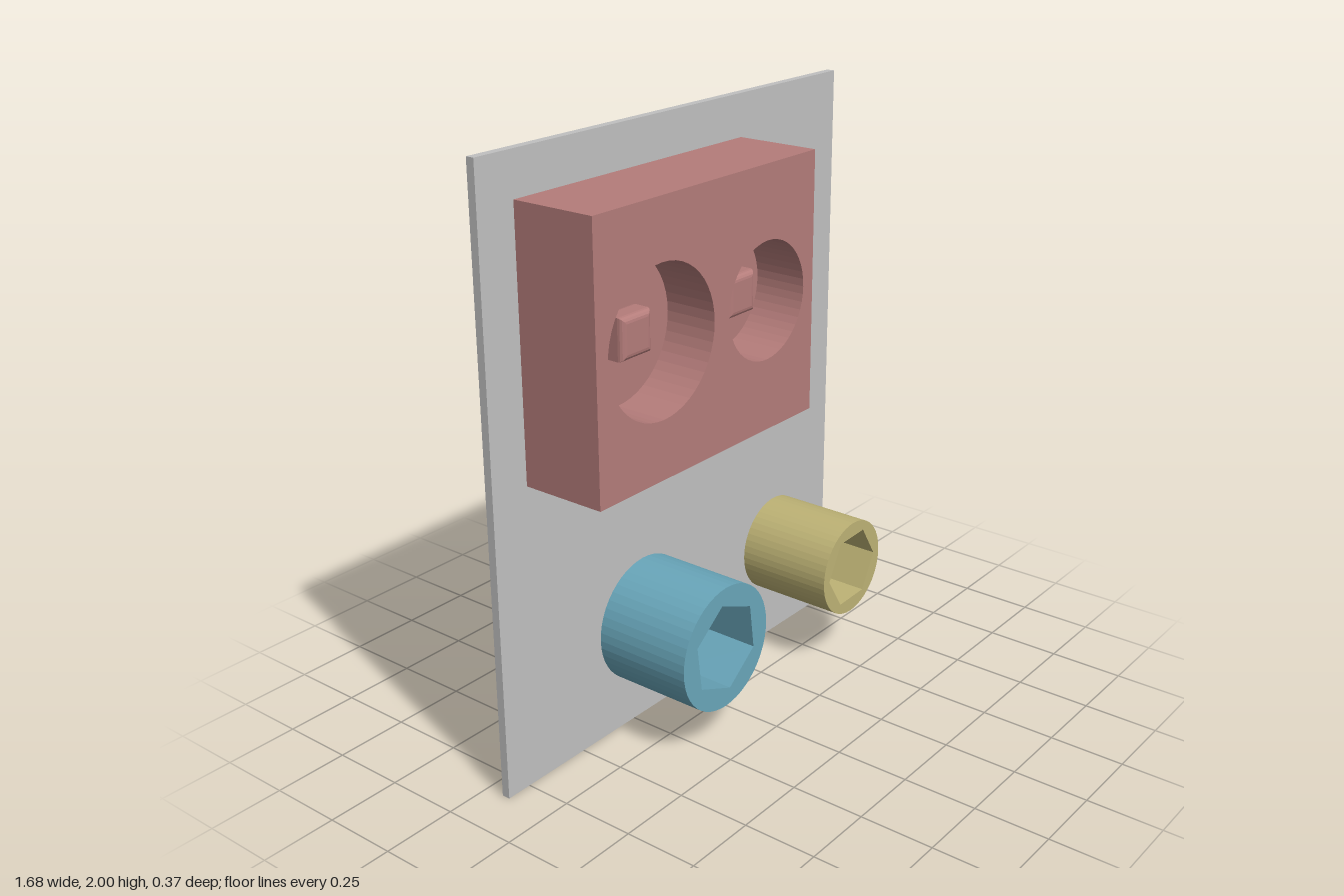
import * as THREE from 'three';

const PLATE_FRONT = -0.157;

function material(name, color) {
  const m = new THREE.MeshStandardMaterial({ color });
  m.name = name;
  return m;
}

function circle(Type, x, y, r) {
  const s = new Type();
  s.absarc(x, y, r, 0, Math.PI * 2, false);
  return s;
}

function rectangle(x0, y0, x1, y1) {
  return new THREE.Shape([[x0, y0], [x1, y0], [x1, y1], [x0, y1]].map(p => new THREE.Vector2(...p)));
}

// Extrudes a shape between two z positions
function slab(name, shape, z0, z1, mat) {
  const geo = new THREE.ExtrudeGeometry(shape, { depth: z1 - z0, bevelEnabled: false, curveSegments: 24 });
  geo.translate(0, 0, z0);
  const mesh = new THREE.Mesh(geo, mat);
  mesh.name = name;
  return mesh;
}

// Round boss with a blind hexagonal socket
function createBoss(name, x, y, r, hexR, hexAngle, mat) {
  const group = new THREE.Group();
  group.name = name;
  const front = 0.185, floor = front - 0.215;
  const rim = circle(THREE.Shape, 0, 0, r);
  const hex = [];
  for (let i = 0; i < 6; i++) {
    const a = THREE.MathUtils.degToRad(hexAngle + i * 60);
    hex.push(new THREE.Vector2(Math.cos(a) * hexR, Math.sin(a) * hexR));
  }
  rim.holes.push(new THREE.Path(hex));
  group.add(
    slab(name + 'Base', circle(THREE.Shape, 0, 0, r), PLATE_FRONT, floor, mat),
    slab(name + 'Socket', rim, floor, front, mat)
  );
  group.position.set(x, y, 0);
  return group;
}

// Square peg with softened front and back edges
function createPeg(x, y, z0, z1, mat) {
  const h = 0.047, bevel = 0.02;
  const geo = new THREE.ExtrudeGeometry(rectangle(-h, -h, h, h), {
    depth: z1 - z0 - bevel * 2, bevelThickness: bevel, bevelSize: bevel, bevelSegments: 4
  });
  const mesh = new THREE.Mesh(geo, mat);
  mesh.name = 'peg';
  mesh.position.set(x, y, z0 + bevel);
  return mesh;
}

export function createModel() {
  const model = new THREE.Group();
  const grey = material('plateGrey', 0xc0c0c0);
  const red = material('blockRed', 0xb47c7a);
  const blue = material('bossBlue', 0x69a6ba);
  const yellow = material('bossYellow', 0xbdb275);

  // Back plate
  model.add(slab('backPlate', rectangle(-0.84, 0, 0.84, 2), -0.185, PLATE_FRONT, grey));

  // Block with two round recesses, each with a peg in the middle
  const block = new THREE.Group();
  block.name = 'recessedBlock';
  const front = 0.13, floor = -0.05;
  const face = rectangle(-0.70, 1.005, 0.323, 1.86);
  for (const [x, r] of [[-0.415, 0.237], [0.083, 0.191]]) {
    face.holes.push(circle(THREE.Path, x, 1.432, r));
    block.add(createPeg(x, 1.432, floor, 0.035, red));
  }
  block.add(
    slab('blockBase', rectangle(-0.70, 1.005, 0.323, 1.86), PLATE_FRONT, floor, red),
    slab('blockFront', face, floor, front, red)
  );
  model.add(block);

  // Hex socket bosses
  model.add(createBoss('largeBoss', -0.19, 0.36, 0.213, 0.157, 37.5, blue));
  model.add(createBoss('smallBoss', 0.525, 0.36, 0.17, 0.137, 2, yellow));
  return model;
}
